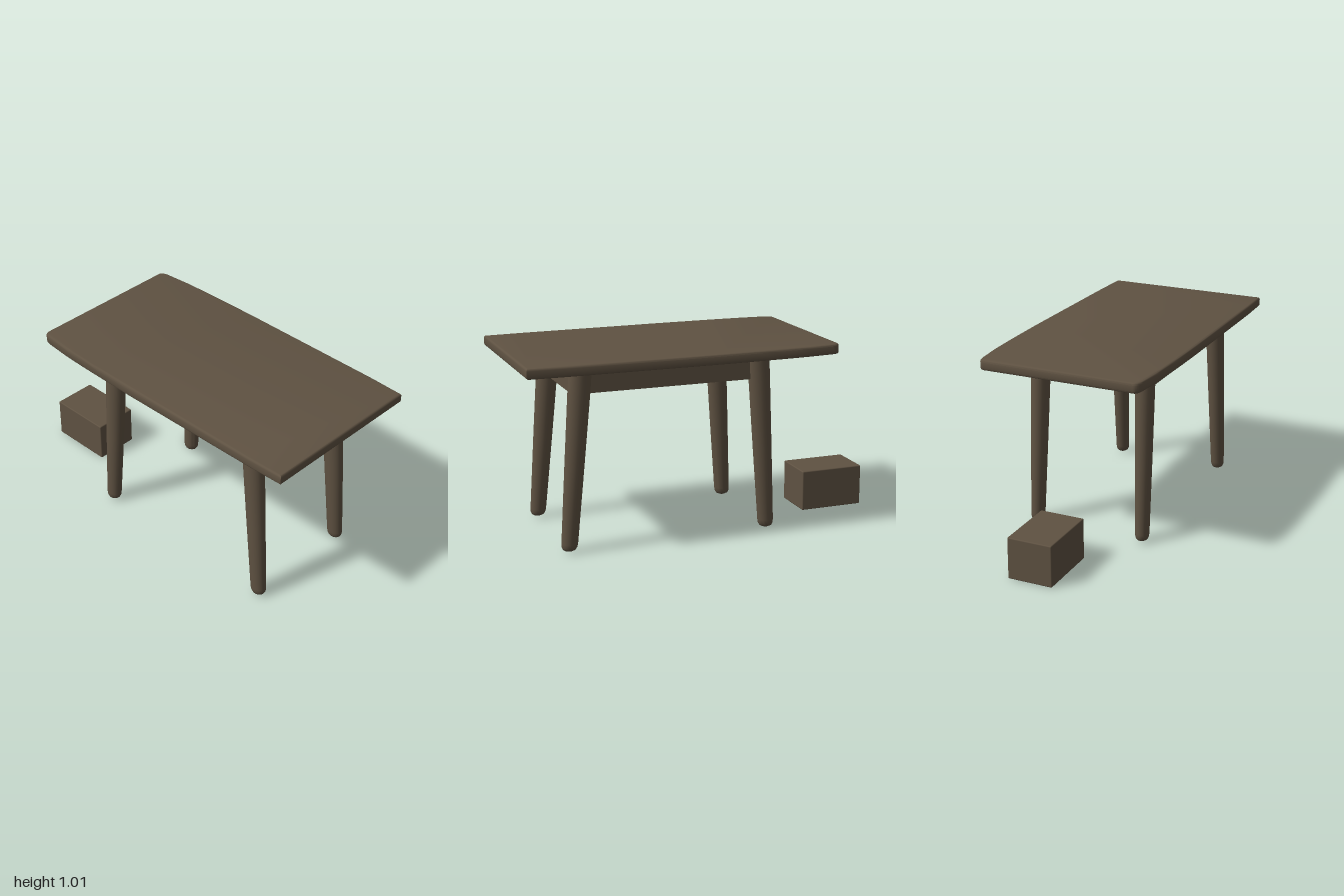
import * as THREE from 'three';
import { toCreasedNormals } from 'three/addons/utils/BufferGeometryUtils.js';
import { RoundedBoxGeometry } from 'three/addons/geometries/RoundedBoxGeometry.js';

export function createModel() {
  const model = new THREE.Group();
  const wood = new THREE.MeshStandardMaterial({ color: 0x5f5242 });
  wood.name = 'darkWood';

  const add = (name, geometry, x = 0, y = 0, z = 0) => {
    const mesh = new THREE.Mesh(geometry, wood);
    mesh.name = name;
    mesh.position.set(x, y, z);
    model.add(mesh);
    return mesh;
  };

  // Table top: slightly bowed long sides, rounded corners at the narrow end
  const outline = new THREE.Shape();
  outline.moveTo(1, -0.453);
  outline.lineTo(1, 0.453);
  outline.lineTo(0.8, 0.46);
  outline.lineTo(0, 0.465);
  outline.quadraticCurveTo(-0.35, 0.463, -0.5, 0.455);
  outline.lineTo(-0.64, 0.443);
  outline.quadraticCurveTo(-0.687, 0.437, -0.687, 0.41);
  outline.lineTo(-0.687, -0.41);
  outline.quadraticCurveTo(-0.687, -0.437, -0.64, -0.443);
  outline.lineTo(-0.5, -0.455);
  outline.quadraticCurveTo(-0.35, -0.463, 0, -0.465);
  outline.lineTo(0.8, -0.46);
  const bevel = 0.012;
  const topGeometry = new THREE.ExtrudeGeometry(outline, {
    depth: 0.055 - 2 * bevel, curveSegments: 6,
    bevelThickness: bevel, bevelSize: bevel, bevelOffset: -bevel, bevelSegments: 3,
  });
  topGeometry.rotateX(Math.PI / 2);
  add('tableTop', toCreasedNormals(topGeometry, 0.6), 0, 1.007 - bevel, 0);

  // Tapered legs with rounded feet, sheared so they splay outwards
  const legProfile = [[0, 0.008], [0.018, 0.01], [0.029, 0.017], [0.035, 0.03],
    [0.037, 0.05], [0.044, 0.45], [0.05, 0.85], [0.05, 0.958], [0, 0.958]]
    .map(([r, y]) => new THREE.Vector2(r, y));
  const legGeometry = (topX, footX, side) => {
    const geometry = new THREE.LatheGeometry(legProfile, 24);
    const p = geometry.attributes.position;
    for (let i = 0; i < p.count; i++) {
      const t = p.getY(i) / 0.95;
      p.setX(i, p.getX(i) * 1.17 + THREE.MathUtils.lerp(footX, topX, t));
      p.setZ(i, p.getZ(i) + side * THREE.MathUtils.lerp(0.309, 0.298, t));
    }
    geometry.computeVertexNormals();
    return toCreasedNormals(geometry, 0.7);
  };
  for (const side of [1, -1]) {
    const face = side > 0 ? 'front' : 'back';
    add(face + 'RightLeg', legGeometry(-0.28, -0.331, side));
    add(face + 'LeftLeg', legGeometry(0.687, 0.769, side));
    // Long apron between the legs
    add(face + 'Apron', new THREE.BoxGeometry(0.94, 0.13, 0.03), 0.205, 0.893, side * 0.298);
  }

  // Short aprons at both ends
  for (const [name, x] of [['rightApron', -0.285], ['leftApron', 0.692]]) {
    add(name, new THREE.BoxGeometry(0.035, 0.153, 0.57), x, 0.8815, 0);
  }

  // Loose block on the floor
  add('floorBlock', new RoundedBoxGeometry(0.36, 0.225, 0.245, 2, 0.006), -0.82, 0.1125, 0);

  return model;
}
